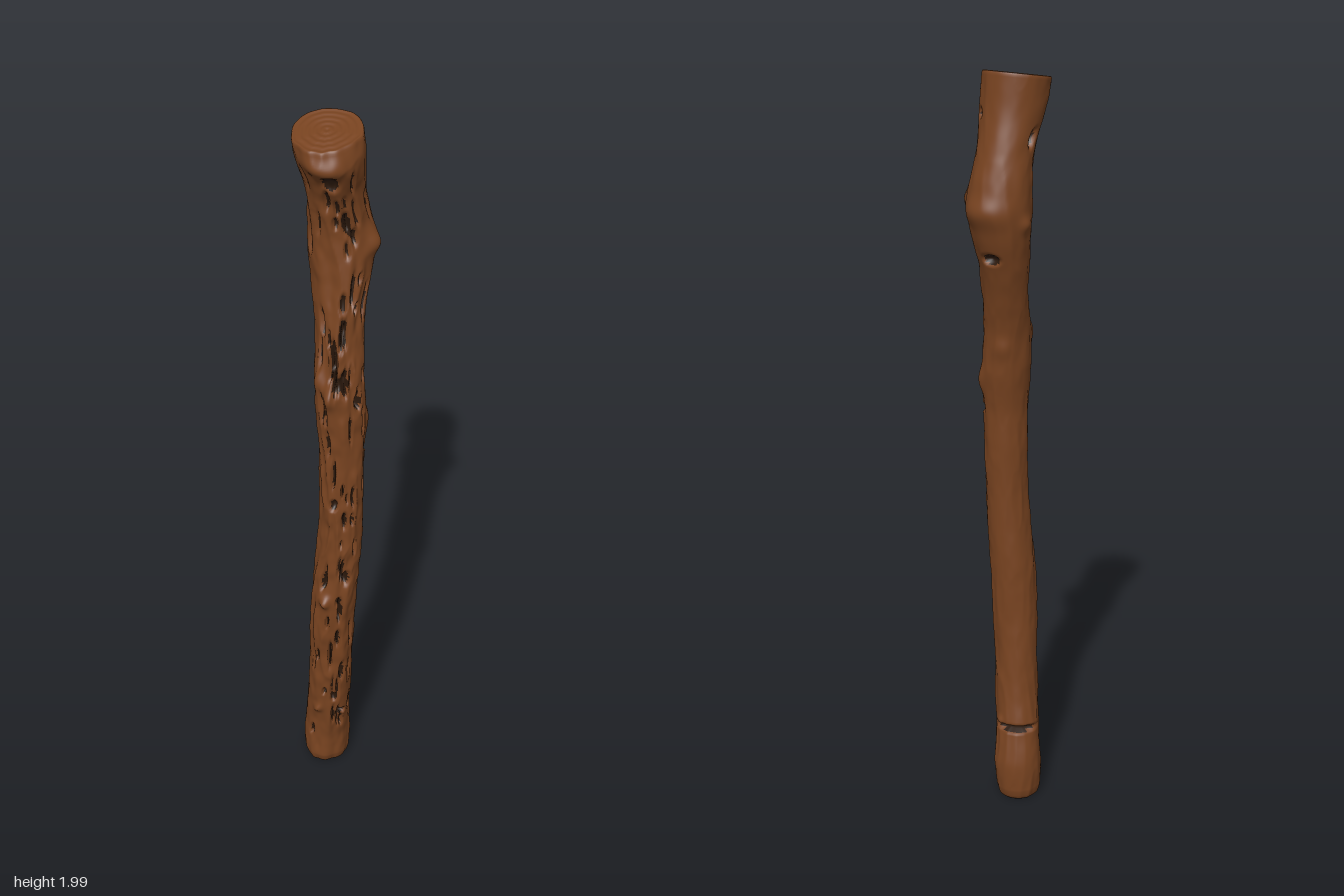
import * as THREE from 'three';

// Outline of the wood every 0.1 in height: [xMin, xMax, zMin, zMax]
const OUTLINE = [
  [-.087, .032, -.057, .068], [-.089, .034, -.058, .071], [-.088, .028, -.04, .085],
  [-.088, .026, -.024, .097], [-.087, .026, -.014, .106], [-.088, .028, -.008, .113],
  [-.088, .031, -.004, .117], [-.08, .038, 0, .119], [-.069, .045, .004, .12],
  [-.065, .049, .005, .12], [-.063, .051, .004, .12], [-.06, .054, 0, .118],
  [-.066, .06, -.014, .116], [-.068, .056, -.026, .109], [-.056, .06, -.05, .094],
  [-.05, .074, -.085, .075], [-.05, .1, -.113, .06], [-.053, .106, -.115, .046],
  [-.06, .081, -.095, .055], [-.092, .07, -.082, .096], [-.112, .06, -.077, .092],
];

// Knots: [angle, y, angular width, height width, amount]
const KNOTS = [
  [-.6, 1.65, .9, .035, .014], [.8, 1.67, .3, .035, .022], [2.2, 1.935, .7, .03, .016],
  [2.36, 1.28, .3, .028, .018], [2.9, 1.31, .25, .03, .012], [.1, 1.18, .35, .035, .01],
  [2.36, .63, .2, .018, .018], [2.5, .22, .2, .015, .012], [-2.3, 1.62, .25, .02, .01],
  [-1.1, 1.28, .4, .03, .008], [-.4, .22, .2, .012, .006],
];

// Pits and splits, with a negative amount
const PITS = [
  [0, 1.88, .14, .011, -.018], [.2, 1.1, .3, .008, -.018], [-.8, 1.53, .36, .013, -.022],
  [.4, 1.38, .11, .025, -.018], [.7, 1.0, .12, .015, -.015], [-2.36, 1.83, .16, .022, -.02],
  [-1.2, .205, 1.1, .008, -.022], [1.35, .205, .25, .01, -.016], [.65, .2, .2, .012, -.016],
  [2.07, 1.88, .28, .028, -.018], [1.75, 1.74, .12, .03, -.015], [1.95, 1.79, .1, .025, -.015],
  [1.9, 1.53, .12, .025, -.015], [1.82, 1.32, .16, .03, -.018], [1.2, 1.26, .14, .022, -.016],
  [2.35, .95, .18, .016, -.016], [1.8, .9, .13, .025, -.016], [1.5, .71, .16, .02, -.018],
  [2.6, .69, .15, .025, -.015], [1.7, .5, .12, .03, -.015], [1.4, .37, .13, .035, -.016],
  [1.75, .27, .14, .014, -.016],
];

let seed = 7;
const rand = () => (seed = (seed * 16807) % 2147483647) / 2147483647;

// Finer splits, mostly on the front
for (let i = 0; i < 70; i++) {
  PITS.push([1.8 + (rand() + rand() - 1) * 1.7, .08 + rand() * 1.8,
    .06 + rand() * .04, .012 + rand() * .035, -(.009 + rand() * .009)]);
}

// Smooth value noise, repeating every `period` cells in u
function noise(u, v, period) {
  const hash = (i, j) => {
    const s = Math.sin((((i % period) + period) % period) * 127.1 + j * 311.7) * 43758.545;
    return s - Math.floor(s);
  };
  const i = Math.floor(u), j = Math.floor(v);
  const f = THREE.MathUtils.smoothstep(u - i, 0, 1), g = THREE.MathUtils.smoothstep(v - j, 0, 1);
  const low = hash(i, j) * (1 - f) + hash(i + 1, j) * f;
  const high = hash(i, j + 1) * (1 - f) + hash(i + 1, j + 1) * f;
  return low * (1 - g) + high * g;
}

// Soft mound for knots, steep-sided hollow for pits and splits
function bump([a0, y0, wa, wy, amount], a, y) {
  const dy = (y - y0) / wy;
  if (Math.abs(dy) > 3) return 0;
  const da = Math.atan2(Math.sin(a - a0), Math.cos(a - a0)) / wa;
  const q = da * da + dy * dy;
  return amount * Math.exp(amount < 0 ? -q * q : -q);
}

// Height of ridges and knots, and depth of pits and splits
function relief(a, y) {
  const rough = .2 + .8 * (.5 + .5 * Math.cos(a - 1.9));
  const turn = a / (Math.PI * 2);
  const ridge = 1 - Math.abs(2 * noise(turn * 15 + .5 * Math.sin(y * 9), y * 7, 15) - 1);
  let raised = rough * (.009 * (ridge - .6) + .005 * (noise(turn * 26, y * 30, 26) - .5))
    + .005 * (noise(turn * 5, y * 10, 5) - .5);
  let sunk = 0;
  for (const k of KNOTS) raised += bump(k, a, y);
  for (const p of PITS) sunk += bump(p, a, y);
  return { raised, sunk: Math.max(sunk, -.022) };
}

function stickGeometry() {
  const SIDES = 128, BODY = 400, TOP = 1.98;
  const spine = new THREE.CatmullRomCurve3(OUTLINE.map(([a, b, c, d], i) =>
    new THREE.Vector3((a + b) / 2, i * .1, (c + d) / 2)), false, 'catmullrom', .5);
  const radii = new THREE.CatmullRomCurve3(OUTLINE.map(([a, b, c, d]) =>
    new THREE.Vector3((b - a) / 2, 0, (d - c) / 2)), false, 'catmullrom', .5);

  // Rows run from the middle of the base, up the bark, to the middle of the top: [y, scale]
  const rows = [[0, .001], [0, .45], [0, .84], [.004, .91], [.012, .96]];
  const baseRows = 3;
  for (let i = 0; i <= BODY; i++) rows.push([.025 + (TOP - .031) * i / BODY, 1]);
  rows.push([TOP - .001, .985], [TOP, .96]);
  // Faint growth rings on the cut top
  for (let i = 1; i <= 30; i++) {
    const s = .96 * (1 - i / 30);
    rows.push([TOP - .001 + .001 * Math.cos(i * .95), Math.max(s, .001)]);
  }

  const positions = [], depth = [], bark = [], dark = [];
  for (const [y, scale] of rows) {
    const c = spine.getPoint(y / 2), r = radii.getPoint(y / 2);
    const tilt = .13 * THREE.MathUtils.smoothstep(y, 1.75, TOP);
    for (let j = 0; j < SIDES; j++) {
      const a = j / SIDES * Math.PI * 2;
      const { raised, sunk } = relief(a, y);
      const x = Math.cos(a) * (r.x + raised + sunk) * scale;
      const z = Math.sin(a) * (r.z + raised + sunk) * scale;
      positions.push(c.x + x, y + tilt * (x - z), c.z + z);
      depth.push(scale === 1 ? sunk : 0);
    }
  }
  // Dark wood lines the base and the deep hollows
  for (let i = 0; i < rows.length - 1; i++) {
    for (let j = 0; j < SIDES; j++) {
      const a = i * SIDES + j, b = i * SIDES + (j + 1) % SIDES;
      const c = a + SIDES, d = b + SIDES;
      const deep = (depth[a] + depth[b] + depth[c] + depth[d]) / 4 < -.008;
      (deep || i < baseRows ? dark : bark).push(a, c, b, b, c, d);
    }
  }

  const geometry = new THREE.BufferGeometry();
  geometry.setAttribute('position', new THREE.Float32BufferAttribute(positions, 3));
  geometry.setIndex(bark.concat(dark));
  geometry.addGroup(0, bark.length, 0);
  geometry.addGroup(bark.length, dark.length, 1);
  geometry.computeVertexNormals();
  return geometry;
}

export function createModel() {
  const barkBrown = new THREE.MeshStandardMaterial({ color: 0x784320 });
  barkBrown.name = 'barkBrown';
  const hollowBrown = new THREE.MeshStandardMaterial({ color: 0x2a180c });
  hollowBrown.name = 'hollowBrown';

  const group = new THREE.Group();
  group.name = 'woodenStick';
  const stick = new THREE.Mesh(stickGeometry(), [barkBrown, hollowBrown]);
  stick.name = 'stick';
  group.add(stick);
  return group;
}
